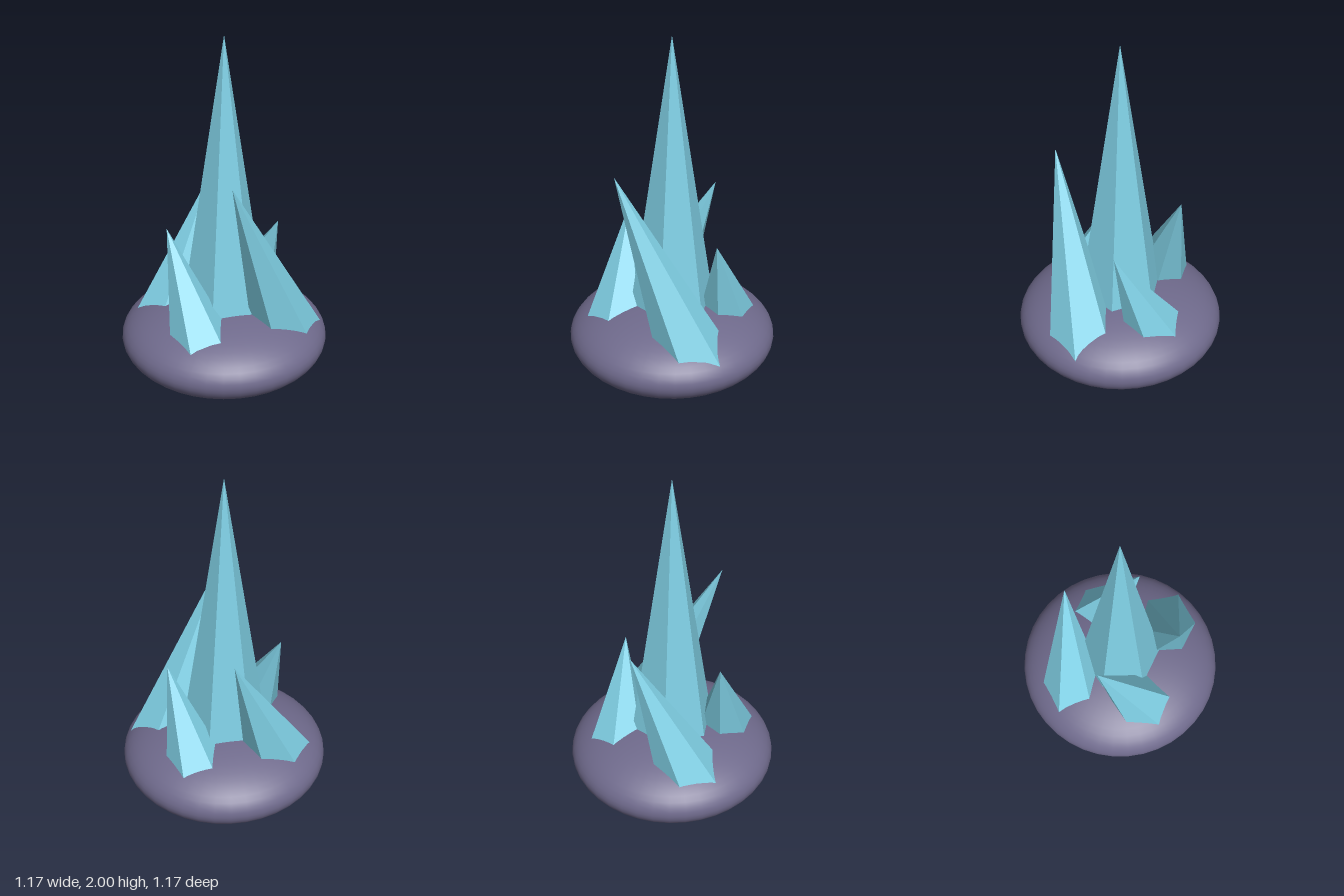
import * as THREE from 'three';

export function createModel() {
  const model = new THREE.Group();
  const rock = new THREE.MeshStandardMaterial({ color: 0x6f6a8c });
  rock.name = 'purpleRock';
  const crystal = new THREE.MeshStandardMaterial({ color: 0x7fcfe4, flatShading: true });
  crystal.name = 'iceBlueCrystal';

  // Smooth flattened boulder the crystals grow from
  const base = new THREE.Mesh(new THREE.SphereGeometry(0.584, 40, 28), rock);
  base.name = 'rockBase';
  base.scale.y = 0.4;
  base.position.y = 0.234;
  model.add(base);

  // Six-sided spike, placed by its centre and tilted about x or z
  function addSpike(name, radius, height, position, tiltX = 0, tiltZ = 0) {
    const spike = new THREE.Mesh(new THREE.ConeGeometry(radius, height, 6), crystal);
    spike.name = name;
    spike.position.set(...position);
    spike.rotation.set(tiltX, 0, tiltZ);
    model.add(spike);
  }

  // Tall upright spike with four smaller ones leaning around it
  addSpike('centreCrystal', 0.27, 1.76, [0, 1.12, 0]);
  addSpike('frontCrystal', 0.208, 1.17, [0, 0.766, 0.29], 0, 0.4);
  addSpike('backCrystal', 0.202, 0.878, [0, 0.666, -0.29], 0, -0.4);
  addSpike('leftCrystal', 0.198, 0.702, [0.29, 0.567, 0], 0.4);
  addSpike('rightCrystal', 0.2, 0.76, [-0.29, 0.595, 0], -0.4);

  return model;
}
